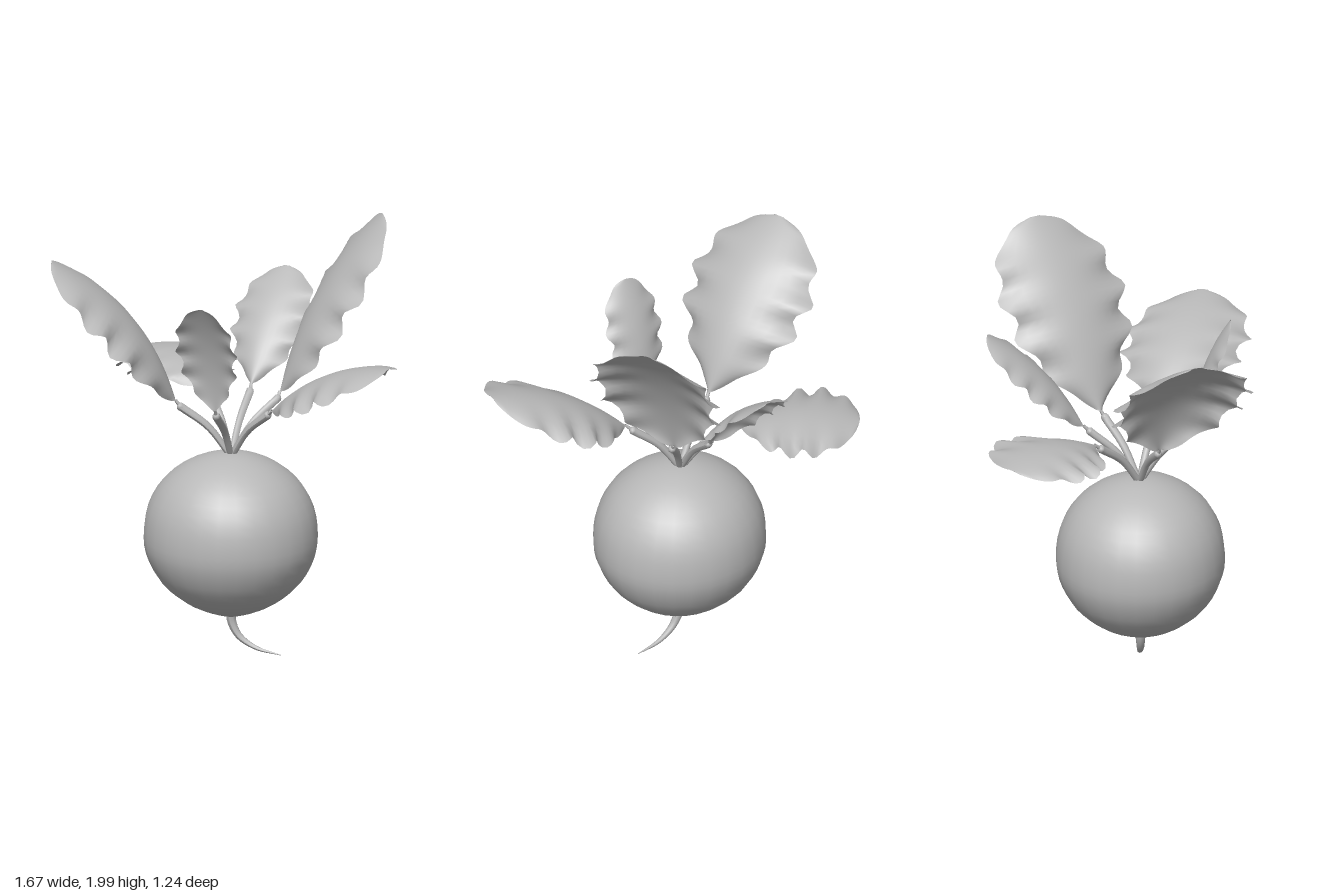
import * as THREE from 'three';

const V = (x, y, z) => new THREE.Vector3(x, y, z);

// Tube along a curve whose radius runs from r0 to r1
function taperedTube(points, r0, r1, segments = 12, sides = 8) {
  const curve = new THREE.CatmullRomCurve3(points);
  const geo = new THREE.TubeGeometry(curve, segments, 1, sides, false);
  const pos = geo.attributes.position;
  for (let i = 0; i <= segments; i++) {
    const c = curve.getPointAt(i / segments);
    const r = THREE.MathUtils.lerp(r0, r1, i / segments);
    for (let j = 0; j <= sides; j++) {
      const k = i * (sides + 1) + j;
      const p = V().fromBufferAttribute(pos, k).sub(c).multiplyScalar(r).add(c);
      pos.setXYZ(k, p.x, p.y, p.z);
    }
  }
  geo.computeVertexNormals();
  return geo;
}

// Half-width of a leaf along its length, before the lobes are added
const outline = new THREE.SplineCurve([
  [0, 0.03], [0.08, 0.3], [0.2, 0.6], [0.36, 0.84], [0.55, 0.94],
  [0.73, 0.92], [0.86, 0.76], [0.95, 0.5], [0.985, 0.3], [1, 0.08],
].map(([s, w]) => new THREE.Vector2(s, w)));

// Arched, domed blade with a lobed, rippled margin; yaw turns its width about the vertical
function leafGeometry(base, tip, { halfWidth, arch, dome, phase, yaw = 0 }) {
  const rows = 48, cols = 12;
  const axis = tip.clone().sub(base).normalize();
  const side = V(0, 1, 0).cross(axis).normalize();
  const up = axis.clone().cross(side);
  side.applyAxisAngle(V(0, 1, 0), yaw);
  const mid = base.clone().add(tip).multiplyScalar(0.5).addScaledVector(up, 2 * arch);
  const spine = new THREE.QuadraticBezierCurve3(base, mid, tip);
  const verts = [], index = [];
  for (let i = 0; i <= rows; i++) {
    const o = outline.getPoint(i / rows);
    const s = THREE.MathUtils.clamp(o.x, 0, 1);
    const c = spine.getPoint(s);
    const normal = spine.getTangent(s).cross(side).normalize();
    const fade = Math.sin(Math.PI * s);
    for (let j = 0; j <= cols; j++) {
      const u = (j / cols) * 2 - 1, a = Math.abs(u);
      const wave = s * Math.PI * 2 * 4.6 + phase + (u < 0 ? 0.7 : 0);
      const w = halfWidth * (o.y + 0.1 * fade * a ** 3 * Math.sin(wave));
      const lift = halfWidth * (0.08 * fade * a ** 3 * Math.cos(wave) - dome * Math.sqrt(fade) * a * a);
      const p = c.clone().addScaledVector(side, u * w).addScaledVector(normal, lift);
      verts.push(p.x, p.y, p.z);
      if (i < rows && j < cols) {
        const k = i * (cols + 1) + j, n = k + cols + 1;
        index.push(k, k + 1, n, k + 1, n + 1, n);
      }
    }
  }
  const geo = new THREE.BufferGeometry();
  geo.setAttribute('position', new THREE.Float32BufferAttribute(verts, 3));
  geo.setIndex(index);
  geo.computeVertexNormals();
  return geo;
}

export function createModel() {
  const group = new THREE.Group();
  const grey = new THREE.MeshStandardMaterial({ color: 0xb8b8b8, side: THREE.DoubleSide });
  grey.name = 'plain grey';
  const add = (name, geo, parent = group) => {
    const mesh = new THREE.Mesh(geo, grey);
    mesh.name = name;
    parent.add(mesh);
    return mesh;
  };

  // Round bulb, slightly pointed below
  const profile = new THREE.SplineCurve([
    [0.001, 0.163], [0.05, 0.175], [0.14, 0.207], [0.228, 0.254], [0.323, 0.338], [0.384, 0.45],
    [0.4, 0.555], [0.38, 0.685], [0.315, 0.8], [0.21, 0.885], [0.09, 0.932], [0.001, 0.942],
  ].map(([r, y]) => new THREE.Vector2(r, y))).getPoints(30);
  const bulb = add('bulb', new THREE.LatheGeometry(profile, 28));
  bulb.position.set(-0.05, 0, 0.08);
  bulb.scale.z = 0.965;

  // Curling tail root
  add('tailRoot', taperedTube([
    V(-0.05, 0.2, 0.08), V(-0.045, 0.14, 0.08), V(-0.01, 0.075, 0.078),
    V(0.07, 0.025, 0.07), V(0.19, 0.002, 0.065),
  ], 0.026, 0.002, 16));

  // Stem end, leaf base, leaf tip and blade shape
  const leaves = [
    ['backRight', [-0.22, 1.16, -0.09], [-0.24, 1.19, -0.12], [-0.66, 1.245, -0.48],
      { halfWidth: 0.28, arch: 0.06, dome: 0.22, phase: 0.5 }],
    ['back', [-0.05, 1.17, -0.15], [-0.055, 1.2, -0.18], [-0.06, 1.64, -0.62],
      { halfWidth: 0.185, arch: 0.05, dome: 0.32, phase: 1.5 }],
    ['backLeft', [0.11, 1.17, -0.09], [0.115, 1.2, -0.11], [0.49, 1.995, -0.43],
      { halfWidth: 0.31, arch: 0.07, dome: 0.26, phase: 2.6, yaw: -0.14 }],
    ['frontLeft', [0.16, 1.16, 0.15], [0.19, 1.19, 0.17], [0.825, 1.495, 0.32],
      { halfWidth: 0.285, arch: 0.07, dome: 0.33, phase: 0.9, yaw: 0.13 }],
    ['front', [-0.035, 1.17, 0.29], [-0.033, 1.2, 0.31], [-0.03, 1.73, 0.49],
      { halfWidth: 0.145, arch: 0.04, dome: 0.33, phase: 3.4 }],
    ['frontRight', [-0.26, 1.16, 0.17], [-0.28, 1.19, 0.18], [-0.81, 1.845, 0.38],
      { halfWidth: 0.32, arch: 0.1, dome: 0.34, phase: 2 }],
  ];
  const crown = V(-0.05, 0.92, 0.075);
  for (const [name, end, base, tip, shape] of leaves) {
    const part = new THREE.Group();
    part.name = name + 'Leaf';
    const e = V(...end), b = V(...base);
    // Stem bending outward, thin neck and blade
    const bend = crown.clone().lerp(e, 0.45);
    bend.y += 0.035;
    add('stem', taperedTube([crown, bend, e], 0.015, 0.019), part);
    const cap = add('stemEnd', new THREE.SphereGeometry(0.019, 8, 6), part);
    cap.position.copy(e);
    add('leafNeck', taperedTube([e, b], 0.01, 0.007, 2, 6), part);
    add('blade', leafGeometry(b, V(...tip), shape), part);
    group.add(part);
  }
  return group;
}
